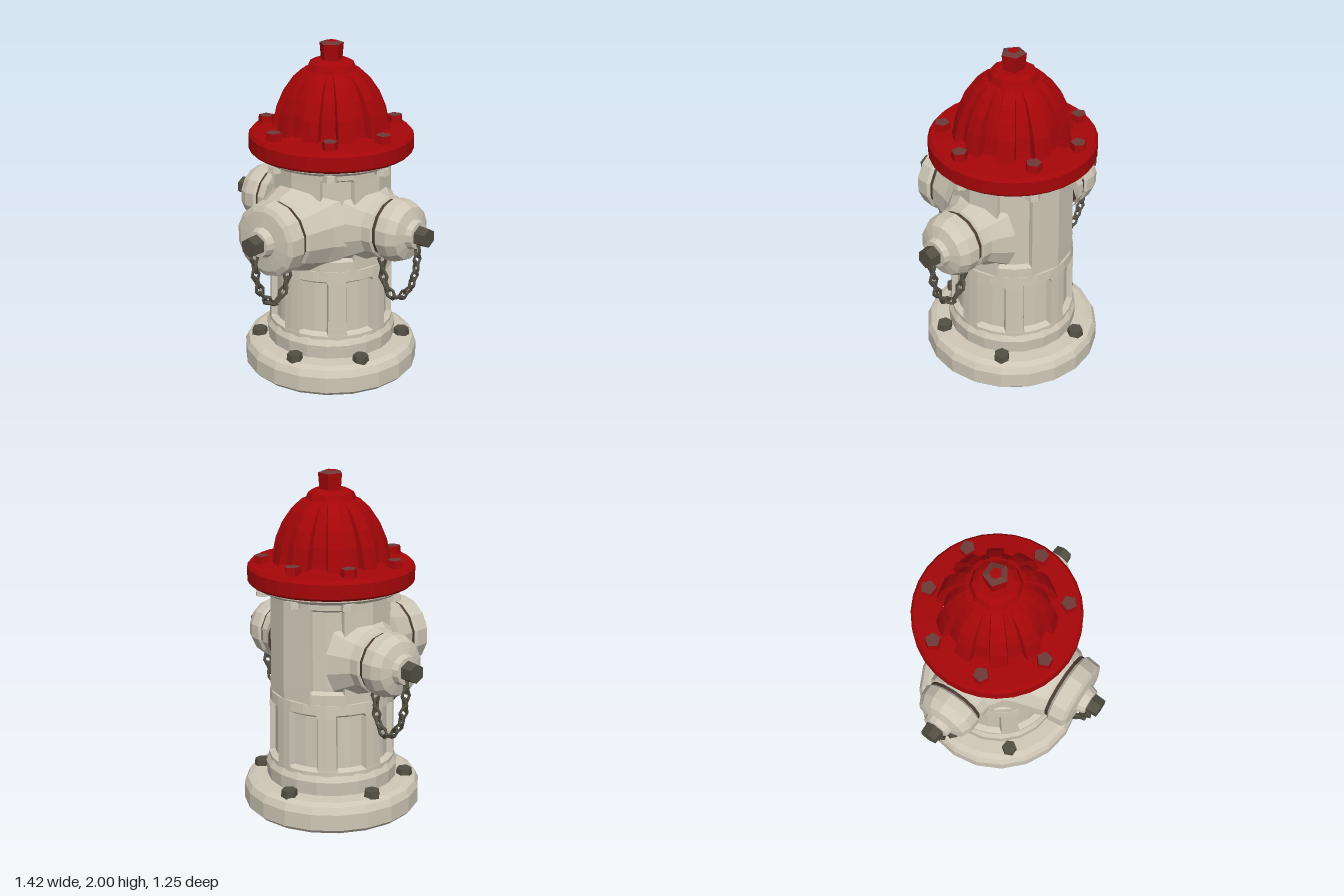
import * as THREE from 'three';

const material = (name, color) => {
  const m = new THREE.MeshStandardMaterial({ color, flatShading: true });
  m.name = name;
  return m;
};

export function createModel() {
  const model = new THREE.Group();
  model.name = 'fireHydrant';
  const hydrant = new THREE.Group(); // built around its own upright axis
  hydrant.name = 'hydrant';
  hydrant.position.z = -0.1;
  model.add(hydrant);

  const ivory = material('ivory paint', 0xcec7b7);
  const red = material('red paint', 0xa50609);
  const iron = material('dark iron', 0x524e42);
  const wornRed = material('worn red tops', 0x6c3a36);
  const gasketBrown = material('dark gasket', 0x4c3b32);
  const brown = material('brown underside', 0x776253);

  const add = (parent, name, geometry, mat, x = 0, y = 0, z = 0) => {
    const mesh = new THREE.Mesh(geometry, mat);
    mesh.name = name;
    mesh.position.set(x, y, z);
    parent.add(mesh);
    return mesh;
  };
  const lathe = (points, sides) =>
    new THREE.LatheGeometry(points.map(([r, y]) => new THREE.Vector2(r, y)), sides);

  // Lathe with sunken panels; each point is [radius, y, sunken depth, half width in radians]
  const panelled = (points, count, offset) => {
    const geo = lathe(points, count * 6);
    const pos = geo.attributes.position;
    const pitch = (Math.PI * 2) / count;
    for (let i = 0; i < pos.count; i++) {
      const [r, y, depth, half] = points[i % points.length];
      const s = Math.floor(i / points.length);
      const step = [-half, -half + 0.03, 0, half - 0.03, half, pitch / 2][s % 6];
      const a = offset + Math.floor(s / 6) * pitch + step;
      const sunk = s % 6 >= 1 && s % 6 <= 3 ? r - depth : r;
      pos.setXYZ(i, sunk * Math.sin(a), y, sunk * Math.cos(a));
    }
    return geo;
  };

  // Bolts at the given angles, in degrees from the front towards +x
  const boltRing = (name, angles, radius, y, size, height, mat, sides) => {
    for (const degrees of angles) {
      const a = THREE.MathUtils.degToRad(degrees);
      const bolt = add(hydrant, name, new THREE.CylinderGeometry(size * 0.9, size, height, sides), mat,
        Math.sin(a) * radius, y, Math.cos(a) * radius);
      bolt.rotation.y = a * 2;
    }
  };
  const bonnetAngles = [38, 86, 149, 197, 243, 292, 345];

  // Base flange
  add(hydrant, 'baseFlange', lathe([
    [0.5, 0], [0.525, 0.025], [0.525, 0.12], [0.505, 0.16], [0.47, 0.175], [0.36, 0.18],
  ], 20), ivory);
  const underside = add(hydrant, 'baseUnderside', new THREE.CircleGeometry(0.502, 20), brown, 0, 0.001, 0);
  underside.rotation.x = Math.PI / 2;
  boltRing('baseBolt', [10, 63, 125, 195, 261, 313], 0.435, 0.19, 0.05, 0.045, iron, 6);

  // Barrel: foot band, lower panels, upper panels, top collar
  add(hydrant, 'footBand', lathe([[0.385, 0.17], [0.392, 0.26], [0.36, 0.32], [0.32, 0.33]], 20), ivory);
  add(hydrant, 'lowerBarrel', panelled([
    [0.372, 0.27, 0, 0.25], [0.372, 0.315, 0, 0.25], [0.371, 0.33, 0.035, 0.25],
    [0.366, 0.64, 0.035, 0.25], [0.365, 0.66, 0, 0.25], [0.362, 0.72, 0, 0.25], [0.33, 0.725, 0, 0.25],
  ], 8, Math.PI / 8), ivory);
  add(hydrant, 'upperBarrel', panelled([
    [0.361, 0.69, 0, 0.28], [0.361, 0.78, 0, 0.28], [0.361, 0.795, 0.028, 0.28],
    [0.355, 1.26, 0.028, 0.28], [0.355, 1.275, 0, 0.28], [0.355, 1.33, 0, 0.28],
  ], 4, Math.PI / 4), ivory);
  add(hydrant, 'topCollar', lathe([[0.34, 1.31], [0.4, 1.32], [0.44, 1.345], [0.44, 1.375]], 24), ivory);
  boltRing('collarNut', bonnetAngles, 0.395, 1.31, 0.045, 0.04, ivory, 6);

  // Bonnet: rim, ribbed dome, boss and operating nut
  add(hydrant, 'bonnetRim', lathe([
    [0.3, 1.358], [0.468, 1.36], [0.482, 1.375], [0.482, 1.455], [0.465, 1.475], [0.38, 1.485], [0.3, 1.495],
  ], 32), red);
  add(hydrant, 'ribbedDome', panelled([
    [0.345, 1.48, 0.045, 0.17], [0.335, 1.53, 0.045, 0.17], [0.318, 1.61, 0.04, 0.165],
    [0.28, 1.7, 0.033, 0.16], [0.225, 1.78, 0.022, 0.15], [0.17, 1.83, 0.008, 0.13], [0.1, 1.85, 0, 0.13],
  ], 10, 0), red);
  add(hydrant, 'bonnetBoss', lathe([[0.15, 1.81], [0.15, 1.83], [0.13, 1.875], [0.1, 1.892], [0, 1.895]], 10), red);
  add(hydrant, 'operatingNut', lathe([[0.064, 1.88], [0.073, 1.985]], 5), red);
  add(hydrant, 'operatingNutTop', lathe([[0.073, 1.985], [0.035, 1.999]], 5), wornRed);
  add(hydrant, 'operatingNutCentre', lathe([[0.035, 1.999], [0, 2]], 5), red);
  boltRing('bonnetBolt', bonnetAngles, 0.4, 1.503, 0.05, 0.045, [red, wornRed, red], 5);

  // Outlets, made pointing to +z and then turned
  const along = (points, sides) => lathe(points, sides).rotateX(Math.PI / 2);
  const makeOutlet = (name, turn, spec) => {
    const outlet = new THREE.Group();
    outlet.name = name;
    outlet.position.y = spec.y;
    outlet.rotation.y = turn;
    hydrant.add(outlet);
    add(outlet, 'outletNeck', along(spec.neck, 14), ivory);
    add(outlet, 'gasket', along(spec.gasket, 14), gasketBrown);
    add(outlet, 'outletCap', along(spec.cap, 14), ivory);
    const nut = new THREE.CylinderGeometry(0.056, 0.062, 0.085, 6).rotateX(Math.PI / 2);
    add(outlet, 'capNut', nut, iron, 0, 0, spec.end - 0.0425);

    // Hanging chain of alternating links
    const path = new THREE.CatmullRomCurve3(
      spec.chain.map(([out, h]) => new THREE.Vector3(-0.015, h - spec.y, out)));
    const up = new THREE.Vector3(0, 1, 0);
    const count = 13;
    for (let i = 0; i < count; i++) {
      const t = (i + 0.5) / count;
      const p = path.getPointAt(t);
      const link = add(outlet, 'chainLink',
        new THREE.TorusGeometry(0.022, 0.01, 4, 6).scale(1, 1.6, 1), iron, p.x, p.y, p.z);
      link.quaternion.setFromUnitVectors(up, path.getTangentAt(t));
      link.rotateY(i % 2 ? 0.35 : 0.35 + Math.PI / 2);
    }
  };

  const side = {
    y: 0.97, end: 0.71,
    neck: [[0.27, 0.26], [0.22, 0.33], [0.19, 0.37], [0.185, 0.425], [0.165, 0.435], [0.1, 0.436]],
    gasket: [[0.1, 0.43], [0.17, 0.432], [0.17, 0.455], [0.1, 0.456]],
    cap: [[0.1, 0.445], [0.165, 0.447], [0.185, 0.465], [0.182, 0.53], [0.155, 0.585],
      [0.09, 0.605], [0.08, 0.64], [0, 0.645]],
    chain: [[0.645, 0.91], [0.635, 0.76], [0.585, 0.62], [0.49, 0.55], [0.42, 0.62], [0.395, 0.79]],
  };
  const front = {
    y: 0.955, end: 0.725,
    neck: [[0.31, 0.22], [0.27, 0.3], [0.25, 0.36], [0.22, 0.45], [0.205, 0.465], [0.1, 0.466]],
    gasket: [[0.1, 0.46], [0.203, 0.462], [0.203, 0.49], [0.1, 0.491]],
    cap: [[0.1, 0.483], [0.205, 0.485], [0.22, 0.5], [0.21, 0.585], [0.18, 0.6],
      [0.09, 0.61], [0.075, 0.655], [0, 0.66]],
    chain: [[0.665, 0.9], [0.655, 0.76], [0.6, 0.62], [0.5, 0.54], [0.41, 0.6], [0.37, 0.76]],
  };
  makeOutlet('frontOutlet', 0, front);
  makeOutlet('leftOutlet', Math.PI / 2, side);
  makeOutlet('rightOutlet', -Math.PI / 2, side);

  return model;
}
